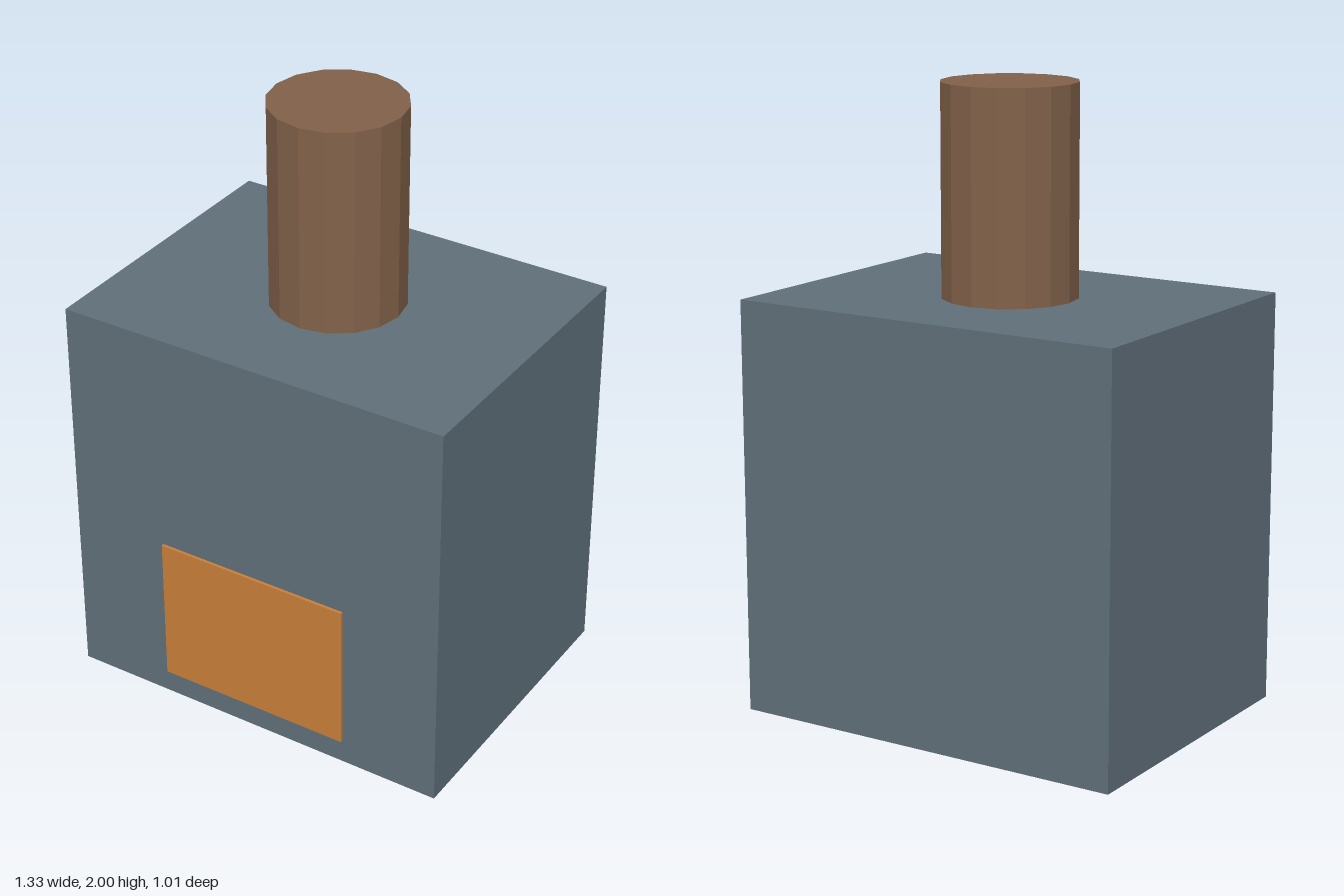
import * as THREE from 'three';

export function createModel() {
  const model = new THREE.Group();
  model.name = 'furnace';

  const material = (name, color) => {
    const m = new THREE.MeshStandardMaterial({ color });
    m.name = name;
    return m;
  };
  const slate = material('slate grey', 0x60707a);
  const brown = material('chimney brown', 0x82624a);
  const orange = material('ember orange', 0xc9803b);
  brown.flatShading = true;

  const add = (name, geometry, mat, x, y, z) => {
    const mesh = new THREE.Mesh(geometry, mat);
    mesh.name = name;
    mesh.position.set(x, y, z);
    model.add(mesh);
  };

  // Main block, set back slightly to leave room for the door
  add('body', new THREE.BoxGeometry(1.33, 1.333, 1), slate, 0, 0.6665, -0.005);

  // Thin door plate low on the front
  add('door', new THREE.BoxGeometry(0.664, 0.5, 0.0098), orange, 0, 0.333, 0.4999);

  // Faceted chimney standing on the block
  add('chimney', new THREE.CylinderGeometry(0.216, 0.216, 0.667, 16), brown, 0, 1.6665, -0.005);

  return model;
}
